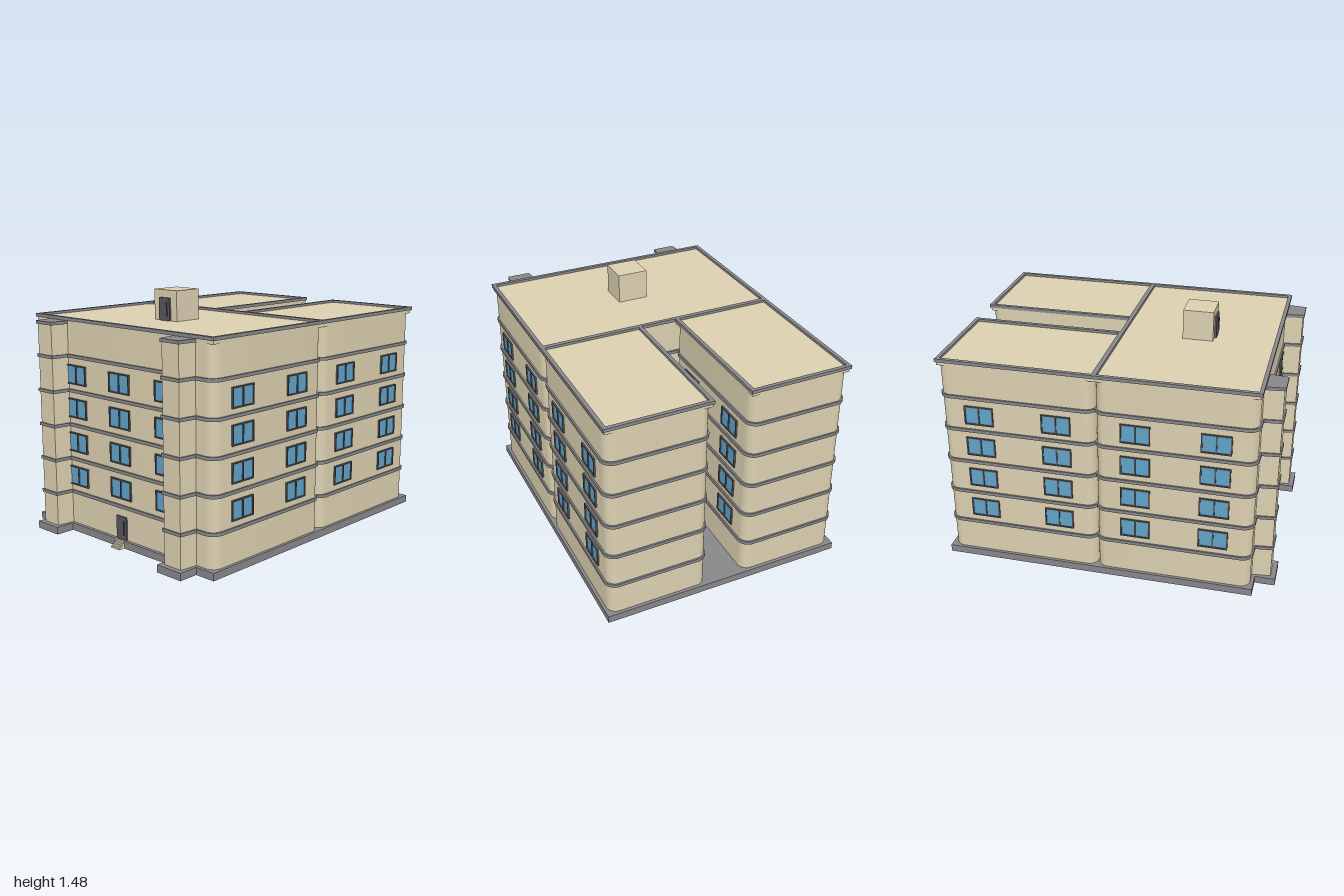
import * as THREE from 'three';
import { toCreasedNormals } from 'three/addons/utils/BufferGeometryUtils.js';

const paint = (color) => new THREE.MeshStandardMaterial({ color });
const CREAM = paint(0xdcd0b0), TRIM = paint(0x87878b), FRAME = paint(0x56565a), GLASS = paint(0x62a2c8);

const BASE = 0.045, WALL_TOP = 1.275, EAVE = 1.295, ROOF_TOP = 1.315;
const BAND_Y = [0.245, 0.455, 0.665, 0.875, 1.085];
const WINDOW_Y = [0.35, 0.56, 0.77, 0.975];

// Plan footprints: x0, x1, z0, z1
const MAIN = [-0.737, 0.737, -0.058, 0.86];
const WINGS = [[0.122, 0.737, -0.98, -0.062], [-0.737, -0.122, -0.98, -0.062]];

function add(parent, name, geometry, material, x = 0, y = 0, z = 0) {
  const mesh = new THREE.Mesh(geometry, material);
  mesh.name = name;
  mesh.position.set(x, y, z);
  parent.add(mesh);
  return mesh;
}

// Box given by its limits
function block(parent, name, material, x0, x1, y0, y1, z0, z1) {
  return add(parent, name, new THREE.BoxGeometry(x1 - x0, y1 - y0, z1 - z0), material,
    (x0 + x1) / 2, (y0 + y1) / 2, (z0 + z1) / 2);
}

const grow = ([x0, x1, z0, z1], d) => [x0 - d, x1 + d, z0 - d, z1 + d];

// Rectangle in plan with rounded corners (shape y is -z)
function planShape([x0, x1, z0, z1], r) {
  const s = new THREE.Shape();
  if (!r) return s.setFromPoints([[x0, -z1], [x1, -z1], [x1, -z0], [x0, -z0]].map((p) => new THREE.Vector2(...p)));
  s.absarc(x1 - r, -z1 + r, r, -Math.PI / 2, 0);
  s.absarc(x1 - r, -z0 - r, r, 0, Math.PI / 2);
  s.absarc(x0 + r, -z0 - r, r, Math.PI / 2, Math.PI);
  s.absarc(x0 + r, -z1 + r, r, Math.PI, Math.PI * 1.5);
  s.closePath();
  return s;
}

// Upright prism from a plan shape
function prism(shape, y0, y1) {
  const g = new THREE.ExtrudeGeometry(shape, { depth: y1 - y0, bevelEnabled: false, curveSegments: 8 });
  g.rotateX(-Math.PI / 2).translate(0, y0, 0);
  return toCreasedNormals(g, 0.6);
}

// Walls, floor bands, roof slab and parapet of one building volume
function volume(name, plan) {
  const g = new THREE.Group();
  g.name = name;
  add(g, 'walls', prism(planShape(plan, 0.06), BASE, WALL_TOP), CREAM);
  for (const y of BAND_Y) add(g, 'floorBand', prism(planShape(grow(plan, 0.01), 0.07), y - 0.01, y + 0.01), TRIM);
  add(g, 'roofSlab', prism(planShape(grow(plan, 0.003), 0), WALL_TOP, EAVE + 0.005), CREAM);
  const rim = planShape(grow(plan, 0.011), 0);
  rim.holes.push(planShape(grow(plan, -0.012), 0));
  add(g, 'parapet', prism(rim, EAVE, ROOF_TOP), TRIM);
  return g;
}

// Two-pane window, facing +z
function makeWindowFrame(w, h) {
  const rect = (x0, x1, y0, y1, T) => new T().setFromPoints(
    [[x0, y0], [x1, y0], [x1, y1], [x0, y1]].map((p) => new THREE.Vector2(...p)));
  const t = 0.008, m = 0.004;
  const s = rect(-w / 2, w / 2, -h / 2, h / 2, THREE.Shape);
  s.holes.push(rect(-w / 2 + t, -m, -h / 2 + t, h / 2 - t, THREE.Path));
  s.holes.push(rect(m, w / 2 - t, -h / 2 + t, h / 2 - t, THREE.Path));
  return new THREE.ExtrudeGeometry(s, { depth: 0.014, bevelEnabled: false }).translate(0, 0, -0.004);
}
const W = 0.174, H = 0.118;
const frameGeometry = makeWindowFrame(W, H);
const glassGeometry = new THREE.BoxGeometry(W - 0.01, H - 0.01, 0.008);

function addWindow(parent, x, y, z, turn) {
  const g = new THREE.Group();
  g.name = 'window';
  add(g, 'windowFrame', frameGeometry, FRAME);
  add(g, 'windowGlass', glassGeometry, GLASS);
  g.position.set(x, y, z);
  g.rotation.y = turn;
  parent.add(g);
}

// Door leaf with a raised handle bar
function addDoor(parent, name, y, z, h, depth) {
  const g = new THREE.Group();
  g.name = name;
  block(g, 'doorLeaf', FRAME, -0.043, 0.043, y, y + h, z - 0.005, z + depth);
  block(g, 'doorHandle', FRAME, 0.02, 0.026, y + 0.03, y + h - 0.025, z + depth, z + depth + 0.006);
  parent.add(g);
}

// Tapered pier plan, wider where it meets the facade
function pierPlan(d) {
  const c = 0.5325, z0 = 0.84, z1 = 0.97 + d;
  return new THREE.Shape([[-0.078 - d, z0], [-0.063 - d, z1], [0.063 + d, z1], [0.078 + d, z0]]
    .map(([x, z]) => new THREE.Vector2(c + x, -z)));
}

function pier(side) {
  const g = new THREE.Group();
  g.name = side > 0 ? 'leftPier' : 'rightPier';
  const c = 0.5325;
  const part = (name, d, y0, y1, material) => {
    const mesh = add(g, name, prism(pierPlan(d), y0, y1), material);
    if (side < 0) mesh.position.x = -2 * c;
  };
  part('pierShaft', 0, BASE, WALL_TOP, CREAM);
  part('pierCap', 0.008, WALL_TOP, EAVE - 0.001, TRIM);
  for (const y of BAND_Y) part('pierBand', 0.008, y - 0.0095, y + 0.0095, TRIM);
  block(g, 'pierBase', TRIM, side * c - 0.092, side * c + 0.092, 0, BASE, 0.87, 1);
  return g;
}

export function createModel() {
  const model = new THREE.Group();
  model.name = 'apartmentBuilding';

  block(model, 'plinth', TRIM, -0.755, 0.755, 0, BASE, -1, 0.88);
  model.add(volume('mainBlock', MAIN));
  WINGS.forEach((plan, i) => model.add(volume(i ? 'rightWing' : 'leftWing', plan)));
  for (const side of [1, -1]) model.add(pier(side));

  // Windows on the facade, the flanks and the courtyard walls
  for (const y of WINDOW_Y) {
    for (const x of [-0.383, 0, 0.383]) addWindow(model, x, y, MAIN[3], 0);
    for (const side of [1, -1]) {
      for (const z of [0.635, 0.175, -0.287, -0.75]) addWindow(model, side * 0.737, y, z, side * Math.PI / 2);
      for (const z of [-0.287, -0.75]) addWindow(model, side * 0.122, y, z, -side * Math.PI / 2);
    }
  }

  // Entrance with steps
  addDoor(model, 'entranceDoor', BASE, 0.86, 0.14, 0.008);
  for (let i = 0; i < 4; i++) {
    block(model, 'entranceStep', CREAM, -0.036, 0.036, 0, BASE * (4 - i) / 4, 0.865, 0.883 + i * 0.0125);
  }

  // Stair house on the roof
  block(model, 'stairHouse', CREAM, -0.093, 0.093, EAVE, 1.48, 0.308, 0.49);
  addDoor(model, 'roofDoor', EAVE + 0.005, 0.49, 0.135, 0.012);

  return model;
}
